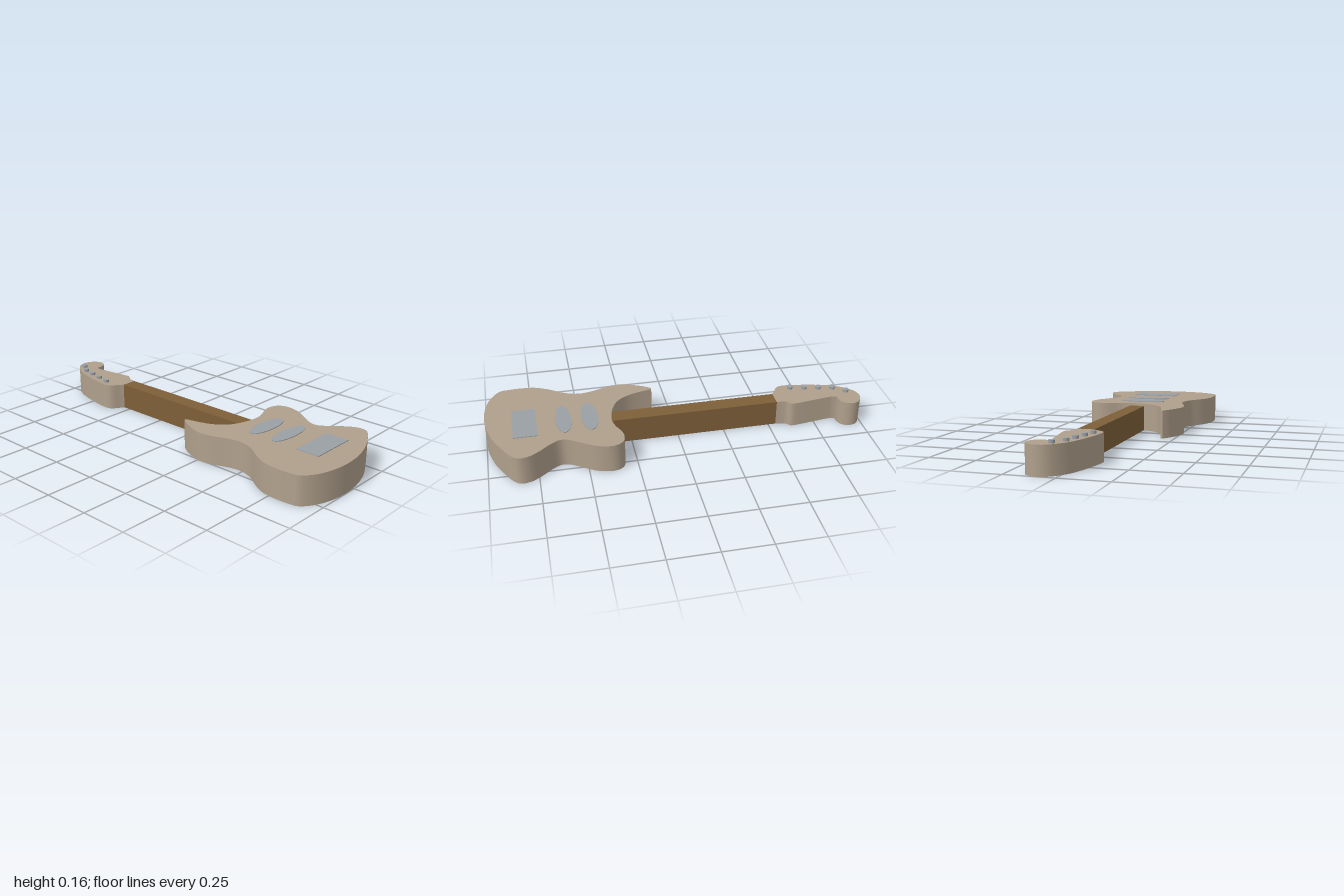
import * as THREE from 'three';
import { toCreasedNormals } from 'three/addons/utils/BufferGeometryUtils.js';

const paint = (color) => new THREE.MeshStandardMaterial({ color });

// Smooth open curve through [x, z] points, returned as shape points
function smooth(points, steps = 4) {
  const curve = new THREE.SplineCurve(points.map(([x, z]) => new THREE.Vector2(x, -z)));
  return curve.getPoints((points.length - 1) * steps);
}

// Plate standing between two heights, with its outline in the x-z plane
function plate(name, outline, bottom, top, material) {
  const shape = new THREE.Shape(outline);
  let geometry = new THREE.ExtrudeGeometry(shape, { depth: top - bottom, bevelEnabled: false, curveSegments: 24 });
  geometry.rotateX(-Math.PI / 2).translate(0, bottom, 0);
  geometry = toCreasedNormals(geometry, 0.6);
  const mesh = new THREE.Mesh(geometry, material);
  mesh.name = name;
  return mesh;
}

function box(name, x0, x1, y0, y1, z0, z1, material) {
  const mesh = new THREE.Mesh(new THREE.BoxGeometry(x1 - x0, y1 - y0, z1 - z0), material);
  mesh.position.set((x0 + x1) / 2, (y0 + y1) / 2, (z0 + z1) / 2);
  mesh.name = name;
  return mesh;
}

export function createModel() {
  const group = new THREE.Group();
  group.name = 'electricGuitar';
  const body = paint(0xb0a08c);
  const wood = paint(0x7d5f38);
  const metal = paint(0x9aa0a5);

  // Body, starting and ending at the pointed upper horn
  const bodyOutline = smooth([
    [-0.175, 0.10], [-0.16, 0.17], [-0.135, 0.24], [-0.09, 0.30], [-0.02, 0.335], [0.07, 0.352],
    [0.135, 0.342], [0.19, 0.318], [0.24, 0.31], [0.29, 0.328], [0.312, 0.38], [0.297, 0.455],
    [0.255, 0.525], [0.217, 0.585], [0.208, 0.63], [0.235, 0.68], [0.285, 0.74], [0.318, 0.795],
    [0.322, 0.845], [0.29, 0.882], [0.215, 0.925], [0.135, 0.962], [0.03, 0.99], [-0.08, 0.998],
    [-0.18, 0.985], [-0.26, 0.955], [-0.315, 0.91], [-0.325, 0.86], [-0.328, 0.80], [-0.32, 0.72],
    [-0.285, 0.645], [-0.235, 0.57], [-0.21, 0.495], [-0.22, 0.42], [-0.25, 0.335], [-0.26, 0.265],
    [-0.243, 0.20], [-0.213, 0.135], [-0.187, 0.097],
  ]);
  group.add(plate('body', bodyOutline, 0, 0.153, body));

  // Neck
  group.add(box('neck', -0.015, 0.07, 0.001, 0.139, -0.545, 0.35, wood));

  // Headstock: long side and scroll, then the short side after the inner corner
  const headOutline = [
    ...smooth([
      [-0.015, -0.54], [-0.035, -0.555], [-0.07, -0.578], [-0.085, -0.605], [-0.085, -0.65],
      [-0.076, -0.71], [-0.055, -0.81], [-0.025, -0.90], [0.02, -0.965], [0.06, -0.994],
      [0.105, -0.998], [0.148, -0.975], [0.164, -0.935], [0.15, -0.895], [0.118, -0.876], [0.082, -0.873],
    ]),
    ...smooth([
      [0.077, -0.85], [0.083, -0.79], [0.098, -0.685], [0.103, -0.62], [0.08, -0.595],
      [0.072, -0.565], [0.07, -0.54],
    ]),
  ];
  group.add(plate('headstock', headOutline, 0, 0.14, body));

  // Tuning pegs
  const pegs = [[-0.05, -0.65], [-0.035, -0.727], [-0.019, -0.803], [-0.003, -0.878], [0.04, -0.94]];
  pegs.forEach(([x, z], i) => {
    const peg = new THREE.Mesh(new THREE.CylinderGeometry(0.015, 0.015, 0.02, 20), metal);
    peg.position.set(x, 0.145, z);
    peg.name = `tuningPeg${i + 1}`;
    group.add(peg);
  });

  // Oval pickups
  [[0.461, 0.045], [0.598, 0.041]].forEach(([z, radius], i) => {
    const oval = new THREE.EllipseCurve(0.025, -z, 0.125, radius).getPoints(48).slice(0, -1);
    group.add(plate(`pickup${i + 1}`, oval, 0.148, 0.157, metal));
  });

  // Bridge
  group.add(box('bridge', -0.10, 0.15, 0.148, 0.157, 0.735, 0.86, metal));

  return group;
}
